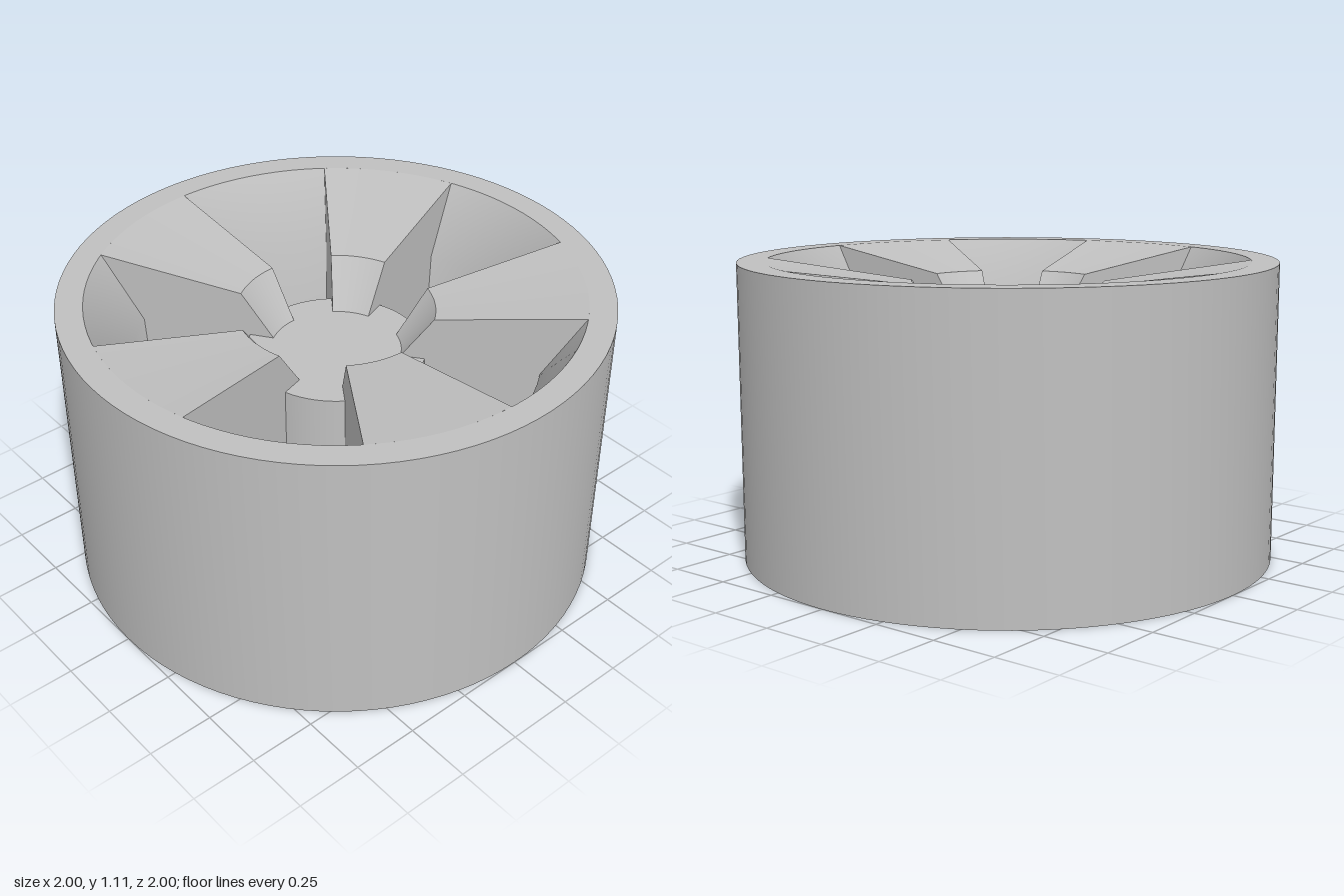
import * as THREE from 'three';
import { toCreasedNormals } from 'three/addons/utils/BufferGeometryUtils.js';

const H = 1.11;          // wheel height
const HUB_R = 0.33;
const HUB_TOP = 0.855;
const SPOKES = 5;
const HALF = THREE.MathUtils.degToRad(16.8); // half the angle of one spoke
const CREASE = 0.6;

const points = (list) => list.map(([r, y]) => new THREE.Vector2(r, y));

// Sweeps a radial cross-section through the angle of one spoke
function spokeGeometry(profile) {
  const geometry = new THREE.ExtrudeGeometry(new THREE.Shape(points(profile)), {
    depth: 2 * HALF, steps: 10, bevelEnabled: false,
  });
  const p = geometry.attributes.position;
  for (let i = 0; i < p.count; i++) {
    const r = p.getX(i), a = p.getZ(i) - HALF;
    p.setXYZ(i, r * Math.cos(a), p.getY(i), r * Math.sin(a));
  }
  return toCreasedNormals(geometry, CREASE);
}

export function createModel() {
  const model = new THREE.Group();
  model.name = 'wheelRim';
  const metal = new THREE.MeshStandardMaterial({ color: 0xc0c0c0 });
  metal.name = 'silver grey';

  const add = (geometry, name) => {
    const mesh = new THREE.Mesh(geometry, metal);
    mesh.name = name;
    model.add(mesh);
    return mesh;
  };

  // Outer barrel with a funnel-shaped inside
  const barrel = new THREE.LatheGeometry(points([
    [0.7, 0], [1, 0], [1, H], [0.9, H], [0.75, 0.85], [0.7, 0],
  ]), 100);
  add(toCreasedNormals(barrel, CREASE), 'barrel');

  // Solid hub in the middle
  const hub = new THREE.CylinderGeometry(HUB_R, HUB_R, HUB_TOP, 80);
  hub.translate(0, HUB_TOP / 2, 0);
  add(hub, 'hub');

  // Deep spokes that rise from the hub to the barrel's top edge
  const spoke = spokeGeometry([
    [HUB_R, 0], [0.7, 0], [0.75, 0.85], [0.9, H],
    [0.36, 1.03], [0.24, HUB_TOP], [HUB_R, HUB_TOP],
  ]);
  for (let i = 0; i < SPOKES; i++) {
    add(spoke, `spoke${i + 1}`).rotation.y = Math.PI + (i * 2 * Math.PI) / SPOKES;
  }
  return model;
}
